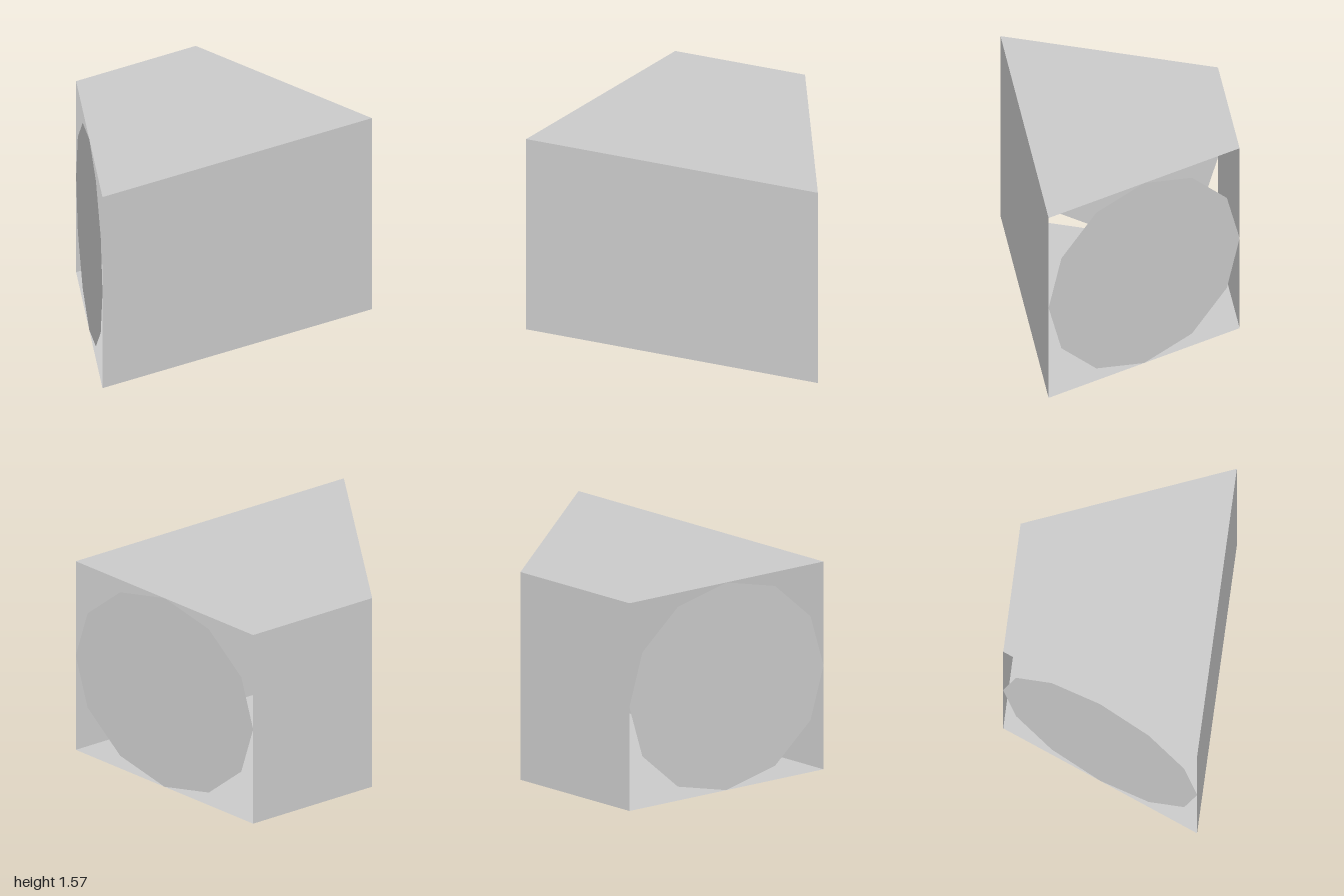
import * as THREE from 'three';

const HEIGHT = 1.57;

// Footprint corners as (x, z)
const frontLeft = new THREE.Vector2(-0.97, -0.11);
const frontTip = new THREE.Vector2(0.137, 1);
const backRight = new THREE.Vector2(0.967, -1);
const backLeft = new THREE.Vector2(-0.603, -1);
const footprint = [frontLeft, frontTip, backRight, backLeft];

export function createModel() {
  const group = new THREE.Group();
  const material = new THREE.MeshStandardMaterial({
    color: 0xcccccc, flatShading: true, side: THREE.DoubleSide,
  });

  const add = (name, geometry) => {
    const mesh = new THREE.Mesh(geometry, material);
    mesh.name = name;
    group.add(mesh);
    return mesh;
  };

  // Stands a flat geometry upright between two footprint corners, facing outward
  const addSide = (name, geometry, from, to) => {
    const mesh = add(name, geometry);
    mesh.position.set((from.x + to.x) / 2, HEIGHT / 2, (from.y + to.y) / 2);
    mesh.rotation.y = Math.atan2(from.y - to.y, to.x - from.x);
  };

  // Solid side walls
  const wall = (from, to) => new THREE.PlaneGeometry(from.distanceTo(to), HEIGHT);
  addSide('rightWall', wall(frontTip, backRight), frontTip, backRight);
  addSide('leftWall', wall(backLeft, frontLeft), backLeft, frontLeft);

  // Twelve-sided discs set in the two open square ends
  const disc = new THREE.CircleGeometry(HEIGHT / 2, 12);
  addSide('frontDisc', disc, frontLeft, frontTip);
  addSide('backDisc', disc, backRight, backLeft);

  // Floor and roof panels
  const panel = (sign) => new THREE.ShapeGeometry(
    new THREE.Shape(footprint.map((p) => new THREE.Vector2(p.x, sign * p.y))),
  ).rotateX(sign * Math.PI / 2);
  add('floor', panel(1));
  add('roof', panel(-1)).position.y = HEIGHT;

  return group;
}
